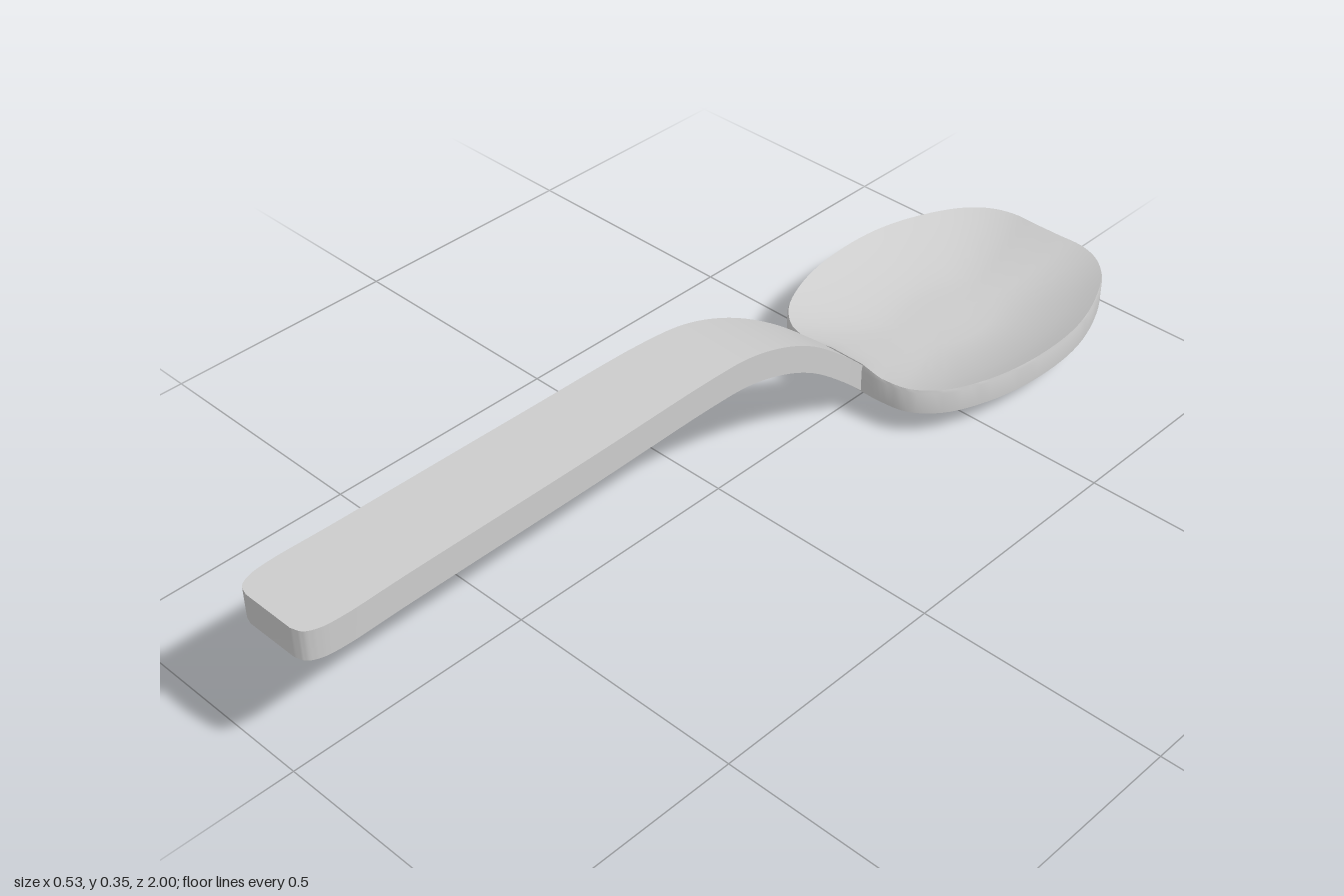
import * as THREE from 'three';
import { toCreasedNormals } from 'three/addons/utils/BufferGeometryUtils.js';

const V = (x, y, z) => new THREE.Vector3(x, y, z);

// Skin a row of closed rings; the first and last rings are collapsed to a point
function loft(name, rings, crease) {
  const n = rings[0].length;
  const index = [];
  for (let k = 0; k < rings.length - 1; k++) {
    for (let i = 0; i < n; i++) {
      const j = (i + 1) % n;
      const a = k * n + i, a2 = k * n + j, b = a + n, b2 = a2 + n;
      if (k < rings.length - 2) index.push(a, b, b2);
      if (k > 0) index.push(a, b2, a2);
    }
  }
  const flat = new THREE.BufferGeometry().setFromPoints(rings.flat());
  flat.setIndex(index);
  const mesh = new THREE.Mesh(
    toCreasedNormals(flat, crease),
    new THREE.MeshStandardMaterial({ color: 0xcccccc })
  );
  mesh.name = name;
  return mesh;
}

// Bowl: a dished plate of even thickness with an upright rim
function makeBowl() {
  const cz = -0.68, rimLow = 0.057, thick = 0.053;
  const half = [
    [0.09, -1], [0.14, -0.982], [0.185, -0.94], [0.228, -0.86], [0.256, -0.77], [0.265, -0.68],
    [0.258, -0.57], [0.235, -0.48], [0.2, -0.41], [0.15, -0.367], [0.09, -0.356],
  ];
  const mirrored = half.map(([x, z]) => [-x, z]).reverse();
  const outline = new THREE.CatmullRomCurve3(
    [...half, [0.04, -0.356], [-0.04, -0.356], ...mirrored, [-0.03, -1], [0.03, -1]].map(([x, z]) => V(x, 0, z)),
    true
  ).getPoints(104).slice(0, -1);

  const dish = (s) => rimLow * Math.pow(Math.max(0, (s - 0.28) / 0.72), 1.65);
  // The rim swells a little where the neck joins
  const swell = (p) => (p.z > -0.37 ? 0.01 * THREE.MathUtils.clamp((0.09 - Math.abs(p.x)) / 0.05, 0, 1) : 0);
  const ring = (s, y, lift = 0) =>
    outline.map((p) => V(p.x * s, y + lift * swell(p), cz + (p.z - cz) * s));

  const steps = [0, 0.15, 0.3, 0.4, 0.5, 0.6, 0.7, 0.8, 0.9, 1];
  const under = steps.map((s) => ring(s, dish(s)));
  const rim = [ring(1, 0.104), ring(0.993, 0.11, 1)];
  const inside = steps.slice(0, -1).reverse().map((s) => ring(s, dish(s) + thick));
  return loft('bowl', [...under, ...rim, ...inside], 0.9);
}

// Handle: a flat bar that bends down and narrows into the neck
function makeHandle() {
  const h = 0.0305;
  // half width, middle height, z
  const path = new THREE.CatmullRomCurve3([
    [0.042, 0.076, -0.37], [0.042, 0.09, -0.355], [0.042, 0.14, -0.3], [0.054, 0.22, -0.2],
    [0.068, 0.277, -0.1], [0.077, 0.311, 0], [0.082, 0.3215, 0.1], [0.087, 0.3215, 0.4],
    [0.09, 0.3215, 0.8], [0.092, 0.3215, 0.93], [0.087, 0.3215, 0.97], [0.075, 0.3215, 0.992],
    [0.055, 0.3215, 1],
  ].map((p) => V(...p)));
  const stations = path.getPoints(60);
  const rings = stations.map(({ x: w, y, z }) => [
    V(w, y + h, z), V(w, y - h, z), V(-w, y - h, z), V(-w, y + h, z),
  ]);
  const cap = ({ y, z }) => Array.from({ length: 4 }, () => V(0, y, z));
  return loft('handle', [cap(stations[0]), ...rings, cap(stations[60])], 0.8);
}

export function createModel() {
  const group = new THREE.Group();
  group.name = 'spoon';
  group.add(makeBowl(), makeHandle());
  return group;
}
